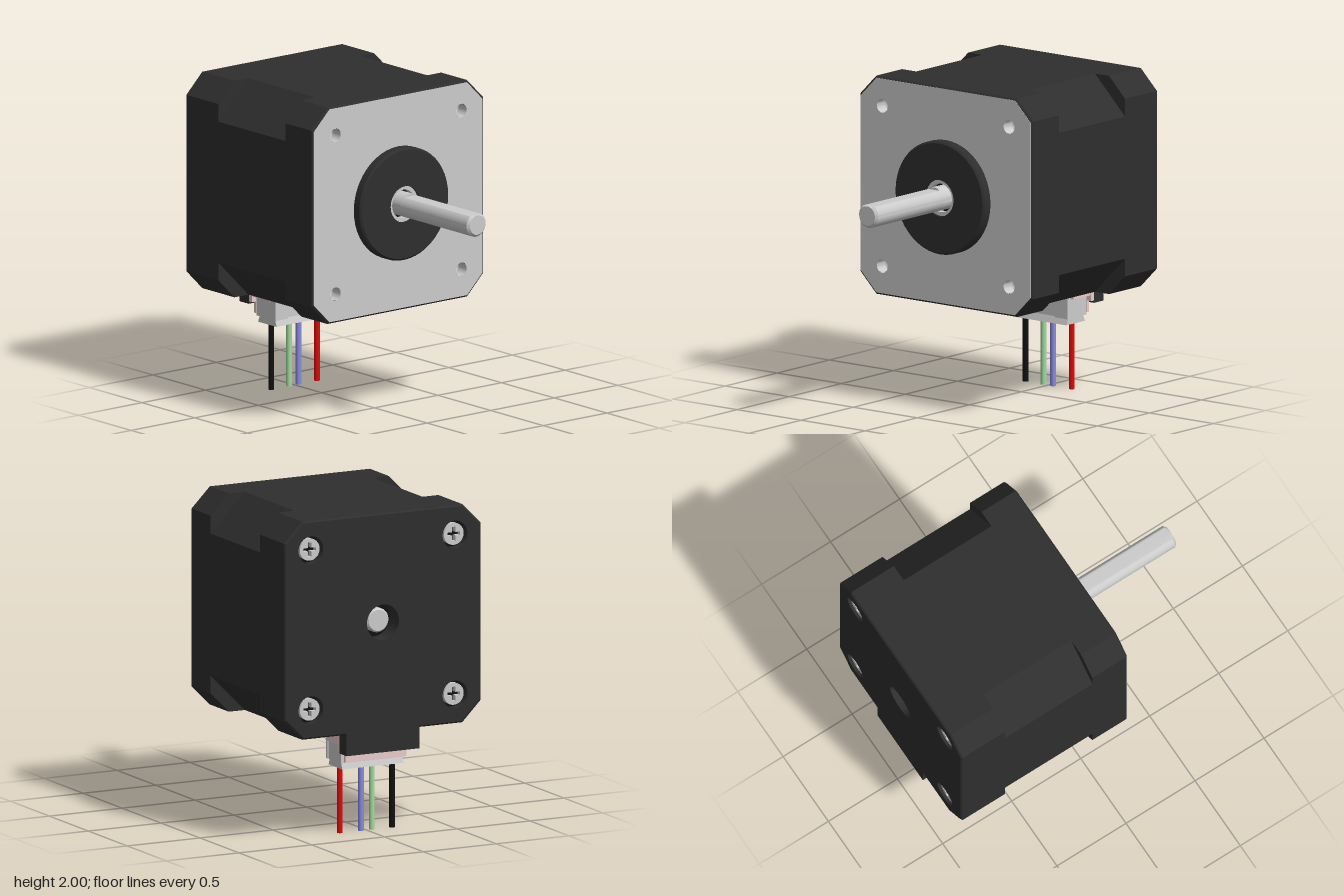
import * as THREE from 'three';
import { toCreasedNormals } from 'three/addons/utils/BufferGeometryUtils.js';

const CY = 1.325;      // height of the motor axis
const HALF = 0.675;    // half width of the square body
const BOLT = 0.495;    // bolt offset from the axis

const paint = (color) => new THREE.MeshStandardMaterial({ color, side: THREE.DoubleSide });
const grey = paint(0xcccccc), dark = paint(0x2e2e2e), black = paint(0x111111), pink = paint(0xeccaca);

const corners = [];
for (const y of [-1, 1]) for (const z of [-1, 1]) corners.push([z * BOLT, y * BOLT]);

export function createModel() {
  const model = new THREE.Group();
  const motor = new THREE.Group();
  motor.name = 'motor';
  motor.position.y = CY;
  model.add(motor);

  const add = (name, geometry, material, parent = motor) => {
    const mesh = new THREE.Mesh(geometry, material);
    mesh.name = name;
    parent.add(mesh);
    return mesh;
  };

  // Extrudes a shape drawn in the zy plane from x0 to x1
  const extrudeX = (shape, x0, x1) =>
    new THREE.ExtrudeGeometry(shape, { depth: x1 - x0, bevelEnabled: false, curveSegments: 20 })
      .rotateY(Math.PI / 2).translate(x0, 0, 0);

  const circle = (x, y, r) => new THREE.Path().absarc(x, y, r, 0, Math.PI * 2, true);

  // Square with cut corners
  const octagon = (h, c, holes = []) => {
    const k = h - c;
    const pts = [[h, -k], [h, k], [k, h], [-k, h], [-h, k], [-h, -k], [-k, -h], [k, -h]];
    const shape = new THREE.Shape(pts.map(([x, y]) => new THREE.Vector2(x, y)));
    shape.holes.push(...holes);
    return shape;
  };

  // Turned part around the x axis; points are [radius, x]
  const turn = (points) => toCreasedNormals(
    new THREE.LatheGeometry(points.map(([r, x]) => new THREE.Vector2(r, x)), 48).rotateZ(-Math.PI / 2), 0.5);

  // Thin end slice whose outline shrinks towards xEnd, softening the edge
  const softEnd = (xEnd, x0, x1, holes) => {
    const geometry = extrudeX(octagon(HALF, 0.125, holes), x0, x1);
    const p = geometry.attributes.position;
    for (let i = 0; i < p.count; i++) {
      const outer = Math.max(Math.abs(p.getY(i)), Math.abs(p.getZ(i))) > HALF - 0.01;
      if (outer && Math.abs(p.getX(i) - xEnd) < 1e-4) p.setXYZ(i, p.getX(i), p.getY(i) * 0.985, p.getZ(i) * 0.985);
    }
    geometry.computeVertexNormals();
    return geometry;
  };

  // Body: two end caps and a middle with deeper corner cuts
  const rearHoles = () => [...corners.map(([z, y]) => circle(z, y, 0.085)), circle(0, 0, 0.11)];
  const frontHoles = () => corners.map(([z, y]) => circle(z, y, 0.042));
  add('rearCap', extrudeX(octagon(HALF, 0.125, rearHoles()), -0.97, -0.665), dark);
  add('rearCapEdge', softEnd(-0.98, -0.98, -0.97, rearHoles()), dark);
  add('middleBody', extrudeX(octagon(HALF, 0.235), -0.665, -0.03), dark);
  add('frontCap', extrudeX(octagon(HALF, 0.125, frontHoles()), -0.03, 0.215), dark);
  add('frontCapEdge', softEnd(0.225, 0.215, 0.225, frontHoles()), dark);
  add('facePlate', extrudeX(octagon(0.664, 0.123, frontHoles()), 0.216, 0.227), grey);

  // Threaded mounting holes in front and cross-head screws at the back
  for (const [z, y] of corners) {
    add('mountingHole', turn([[0, 0.12], [0.041, 0.15], [0.041, 0.226]]), grey).position.set(0, y, z);

    const head = new THREE.Shape().absarc(0, 0, 0.068, 0, Math.PI * 2, false);
    const a = 0.011, b = 0.044;
    const cross = [[a, a], [a, b], [-a, b], [-a, a], [-b, a], [-b, -a], [-a, -a], [-a, -b], [a, -b], [a, -a], [b, -a], [b, a]];
    head.holes.push(new THREE.Path(cross.map(([u, v]) => new THREE.Vector2(u, v))));
    const screw = new THREE.Group();
    screw.name = 'screw';
    screw.position.set(0, y, z);
    motor.add(screw);
    add('screwHead', extrudeX(head, -0.965, -0.92), grey, screw);
    add('screwSeat', turn([[0, -0.93], [0.085, -0.93]]), black, screw);
  }

  // Front boss, bearing and shaft
  add('boss', turn([[0.35, 0.22], [0.35, 0.278], [0.338, 0.29], [0.112, 0.29], [0.112, 0.225]]), dark);
  add('bearing', turn([[0.112, 0.225], [0.112, 0.275], [0.088, 0.275], [0.088, 0.225]]), grey);
  add('bearingSeal', turn([[0.112, 0.235], [0.06, 0.235]]), black);
  add('shaftRoot', turn([[0.075, 0.22], [0.075, 0.34], [0, 0.34]]), grey);

  // Shaft with a flat on top
  let shaft = new THREE.LatheGeometry(
    [[0.075, 0.33], [0.075, 0.965], [0.06, 0.98], [0, 0.98]].map(([r, x]) => new THREE.Vector2(r, x)), 64).rotateZ(-Math.PI / 2);
  const p = shaft.attributes.position;
  for (let i = 0; i < p.count; i++) p.setY(i, Math.min(p.getY(i), 0.06));
  add('shaft', toCreasedNormals(shaft, 0.4), grey);

  // Rear shaft end inside its hole
  add('rearHoleFloor', turn([[0, -0.86], [0.11, -0.86]]), black);
  add('rearShaftEnd', turn([[0, -0.92], [0.065, -0.92], [0.075, -0.91], [0.075, -0.86]]), grey);

  // Connector under the rear cap
  const connector = new THREE.Group();
  connector.name = 'connector';
  model.add(connector);
  const box = (name, x0, x1, y0, y1, z0, z1, material) =>
    add(name, new THREE.BoxGeometry(x1 - x0, y1 - y0, z1 - z0)
      .translate((x0 + x1) / 2, (y0 + y1) / 2, (z0 + z1) / 2), material, connector);

  box('rearTab', -0.98, -0.89, 0.52, 0.66, -0.25, 0.25, dark);
  box('socket', -0.89, -0.7, 0.57, 0.66, -0.245, 0.245, pink);
  box('socketBack', -0.89, -0.862, 0.535, 0.66, -0.25, 0.25, pink);
  box('socketTongue', -0.89, -0.872, 0.46, 0.6, -0.21, 0.21, pink);
  box('plugCore', -0.855, -0.69, 0.45, 0.57, -0.22, 0.22, grey);
  box('plugFront', -0.705, -0.69, 0.45, 0.655, -0.22, 0.22, grey);
  box('plugLip', -0.69, -0.667, 0.61, 0.655, -0.22, 0.22, grey);
  for (const s of [-1, 1]) {
    const [z0, z1] = [0.125 * s, 0.225 * s].sort((m, n) => m - n);
    box('plugRib', -0.69, -0.667, 0.45, 0.61, z0, z1, grey);
  }

  // Flared foot of the plug
  const foot = new THREE.Shape([[-0.85, 0.41], [-0.675, 0.41], [-0.69, 0.452], [-0.835, 0.452]]
    .map(([x, y]) => new THREE.Vector2(x, y)));
  add('plugFoot', new THREE.ExtrudeGeometry(foot, { depth: 0.42, bevelEnabled: false }).translate(0, 0, -0.21), grey, connector);

  // Four wires
  const wires = [['blackWire', 0.18, 0x111111], ['greenWire', 0.04, 0xa2dba0], ['blueWire', -0.035, 0x8a8ae0], ['redWire', -0.18, 0xe00808]];
  for (const [name, z, color] of wires) {
    add(name, new THREE.CylinderGeometry(0.018, 0.018, 0.425, 20), paint(color), connector).position.set(-0.762, 0.2125, z);
  }
  return model;
}
